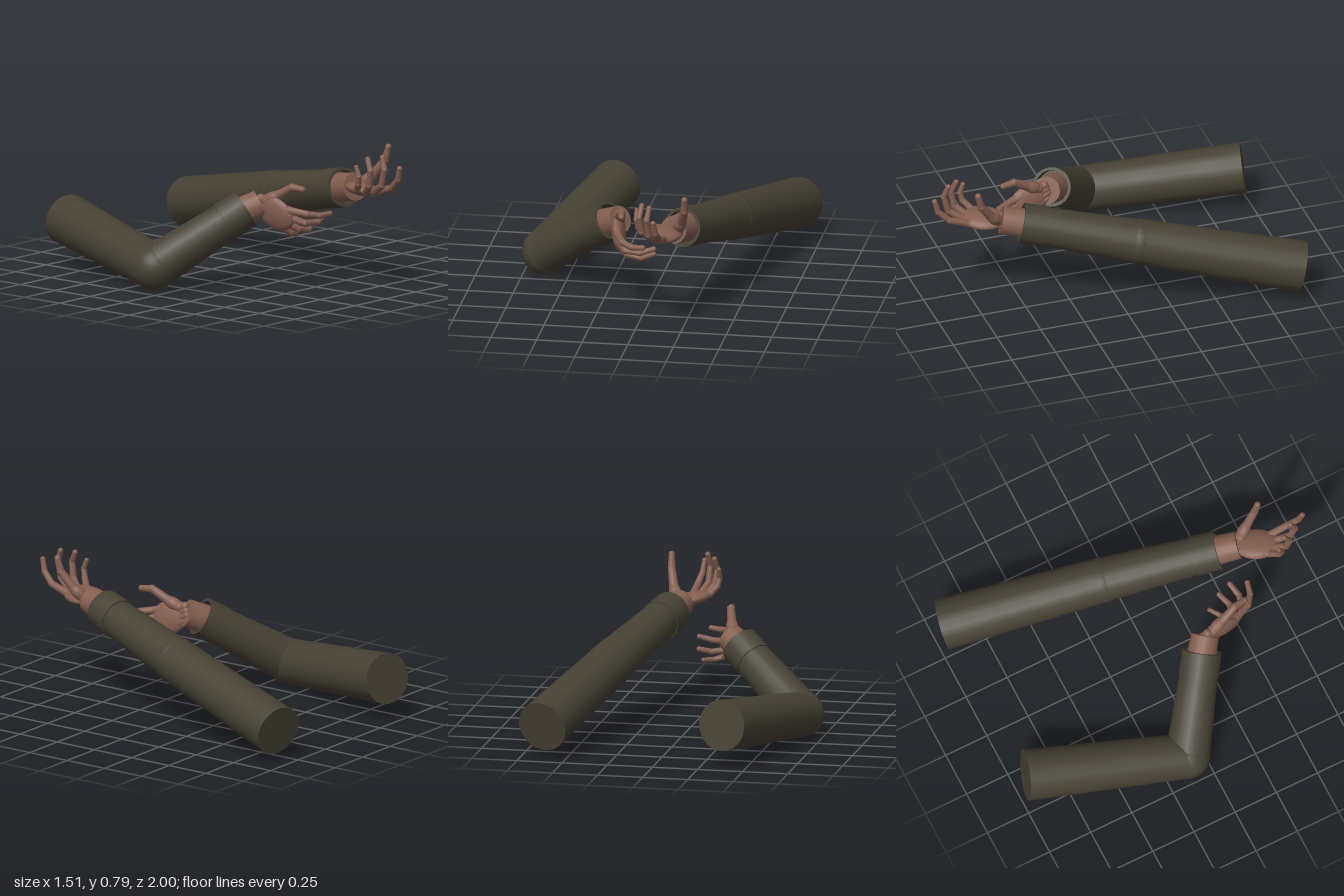
import * as THREE from 'three';

const sleeve = new THREE.MeshStandardMaterial({ color: 0x464133, side: THREE.DoubleSide });
sleeve.name = 'olive sleeve';
const skin = new THREE.MeshStandardMaterial({ color: 0x835e50 });
skin.name = 'brown skin';

const V = (p) => new THREE.Vector3(...p);
const UP = new THREE.Vector3(0, 1, 0);

function add(group, name, geometry, material) {
  const mesh = new THREE.Mesh(geometry, material);
  mesh.name = name;
  group.add(mesh);
  return mesh;
}

// Places a y-aligned mesh so its middle lies between a and b
function span(mesh, a, b) {
  mesh.position.copy(a).lerp(b, 0.5);
  mesh.quaternion.setFromUnitVectors(UP, b.clone().sub(a).normalize());
  return mesh;
}

function limb(group, name, a, b, ra, rb, material, sides = 16, open = false) {
  const geo = new THREE.CylinderGeometry(rb, ra, a.distanceTo(b), sides, 1, open);
  return span(add(group, name, geo, material), a, b);
}

function ball(group, name, p, r, material, w = 12, h = 8) {
  const mesh = add(group, name, new THREE.SphereGeometry(r, w, h), material);
  mesh.position.copy(p);
  return mesh;
}

// Chain of tapered bones with round joints
function finger(group, name, points, r0, r1) {
  const g = new THREE.Group();
  g.name = name;
  const n = points.length - 1;
  const radius = (i) => r0 + (r1 - r0) * i / n;
  points.forEach((p, i) => {
    ball(g, 'knuckle', p, radius(i) * 1.06, skin);
    if (i < n) limb(g, 'fingerBone', p, points[i + 1], radius(i), radius(i + 1), skin, 10, true);
  });
  group.add(g);
}

function buildArm(d) {
  const arm = new THREE.Group();
  arm.name = d.name;
  const shoulder = V(d.shoulder), elbow = V(d.elbow), cuffEnd = V(d.cuffEnd), wrist = V(d.wrist);
  const dir = cuffEnd.clone().sub(elbow).normalize();
  const back = (dist) => cuffEnd.clone().addScaledVector(dir, -dist);

  // Sleeve
  limb(arm, 'upperSleeve', shoulder, elbow, 0.14, 0.124, sleeve, 20);
  ball(arm, 'elbow', elbow, 0.125, sleeve, 24, 16);
  limb(arm, 'foreSleeve', elbow, back(0.06), 0.122, 0.102, sleeve, 20);

  // Hollow cuff: outer wall, inner wall and rims
  limb(arm, 'cuffOuter', back(0.135), cuffEnd, 0.111, 0.108, sleeve, 20, true);
  limb(arm, 'cuffInner', back(0.135), cuffEnd, 0.092, 0.092, sleeve, 20, true);
  for (const [dist, face, r] of [[0, 1, 0.108], [0.135, -1, 0.111]]) {
    const rim = add(arm, 'cuffRim', new THREE.RingGeometry(0.092, r, 20), sleeve);
    rim.position.copy(back(dist));
    rim.quaternion.setFromUnitVectors(new THREE.Vector3(0, 0, 1), dir.clone().multiplyScalar(face));
  }

  // Wrist
  const hand = new THREE.Group();
  hand.name = 'hand';
  arm.add(hand);
  limb(hand, 'wrist', back(0.07), wrist, 0.082, 0.076, skin, 18);

  // Palm: flattened ellipsoid between wrist and knuckles
  const knuckles = d.fingers.map((f) => V(f[0]));
  const mid = knuckles.reduce((s, k) => s.add(k), new THREE.Vector3()).multiplyScalar(0.25);
  const along = mid.clone().sub(wrist).normalize();
  const across = knuckles[0].clone().sub(knuckles[3]);
  across.addScaledVector(along, -across.dot(along)).normalize();
  const normal = new THREE.Vector3().crossVectors(across, along);
  const turn = new THREE.Matrix4().makeBasis(across, along, normal);
  const palm = ball(hand, 'palm', V(d.palm), 1, skin, 24, 16);
  palm.scale.set(0.092, 0.122, 0.036);
  palm.quaternion.setFromRotationMatrix(turn);

  // Fingers, each starting with a long bone inside the palm
  const names = ['indexFinger', 'middleFinger', 'ringFinger', 'littleFinger'];
  d.fingers.forEach((f, i) => {
    const root = wrist.clone().addScaledVector(across, 0.036 - 0.024 * i);
    const slim = i === 3 ? 0.002 : 0;
    finger(hand, names[i], [root, ...f.map(V)], 0.024 - slim, 0.0145 - slim);
  });

  // Thumb with its fleshy base
  const thumb = d.thumb.map(V);
  finger(hand, 'thumb', thumb, 0.031, 0.017);
  const pad = ball(hand, 'thumbBase', thumb[0].clone().lerp(thumb[1], 0.5), 1, skin, 16, 12);
  pad.scale.set(0.034, 0.06, 0.034);
  pad.quaternion.setFromUnitVectors(UP, thumb[1].clone().sub(thumb[0]).normalize());
  return arm;
}

export function createModel() {
  const model = new THREE.Group();
  model.name = 'pairOfArms';

  // Nearly straight arm with the palm up
  model.add(buildArm({
    name: 'leftArm',
    shoulder: [0.62, 0.19, -0.955], elbow: [0.395, 0.385, -0.1],
    cuffEnd: [0.22, 0.525, 0.515], wrist: [0.19, 0.545, 0.62], palm: [0.148, 0.55, 0.71],
    fingers: [
      [[0.165, 0.545, 0.8], [0.16, 0.58, 0.905], [0.145, 0.635, 0.965], [0.137, 0.7, 0.983]],
      [[0.125, 0.545, 0.805], [0.095, 0.6, 0.89], [0.09, 0.69, 0.915], [0.1, 0.755, 0.892]],
      [[0.088, 0.552, 0.785], [0.05, 0.6, 0.842], [0.04, 0.685, 0.858], [0.05, 0.745, 0.83]],
      [[0.063, 0.565, 0.745], [0.024, 0.605, 0.785], [0.014, 0.65, 0.798], [0.014, 0.7, 0.78]],
    ],
    thumb: [[0.22, 0.565, 0.65], [0.245, 0.61, 0.695], [0.272, 0.7, 0.762], [0.276, 0.773, 0.782]],
  }));

  // Bent arm with the palm turned inwards
  model.add(buildArm({
    name: 'rightArm',
    shoulder: [-0.375, 0.245, -0.955], elbow: [-0.635, 0.13, -0.105],
    cuffEnd: [-0.228, 0.43, 0.19], wrist: [-0.165, 0.455, 0.24], palm: [-0.155, 0.415, 0.345],
    fingers: [
      [[-0.145, 0.44, 0.44], [-0.105, 0.425, 0.53], [-0.05, 0.415, 0.572], [0.015, 0.42, 0.588]],
      [[-0.14, 0.4, 0.44], [-0.095, 0.372, 0.505], [-0.01, 0.367, 0.523], [0.062, 0.388, 0.505]],
      [[-0.135, 0.365, 0.42], [-0.09, 0.332, 0.455], [-0.015, 0.318, 0.46], [0.05, 0.335, 0.435]],
      [[-0.13, 0.335, 0.385], [-0.09, 0.305, 0.4], [-0.045, 0.292, 0.393], [0.008, 0.295, 0.355]],
    ],
    thumb: [[-0.165, 0.48, 0.29], [-0.15, 0.51, 0.35], [-0.125, 0.565, 0.44], [-0.115, 0.56, 0.505]],
  }));
  return model;
}
